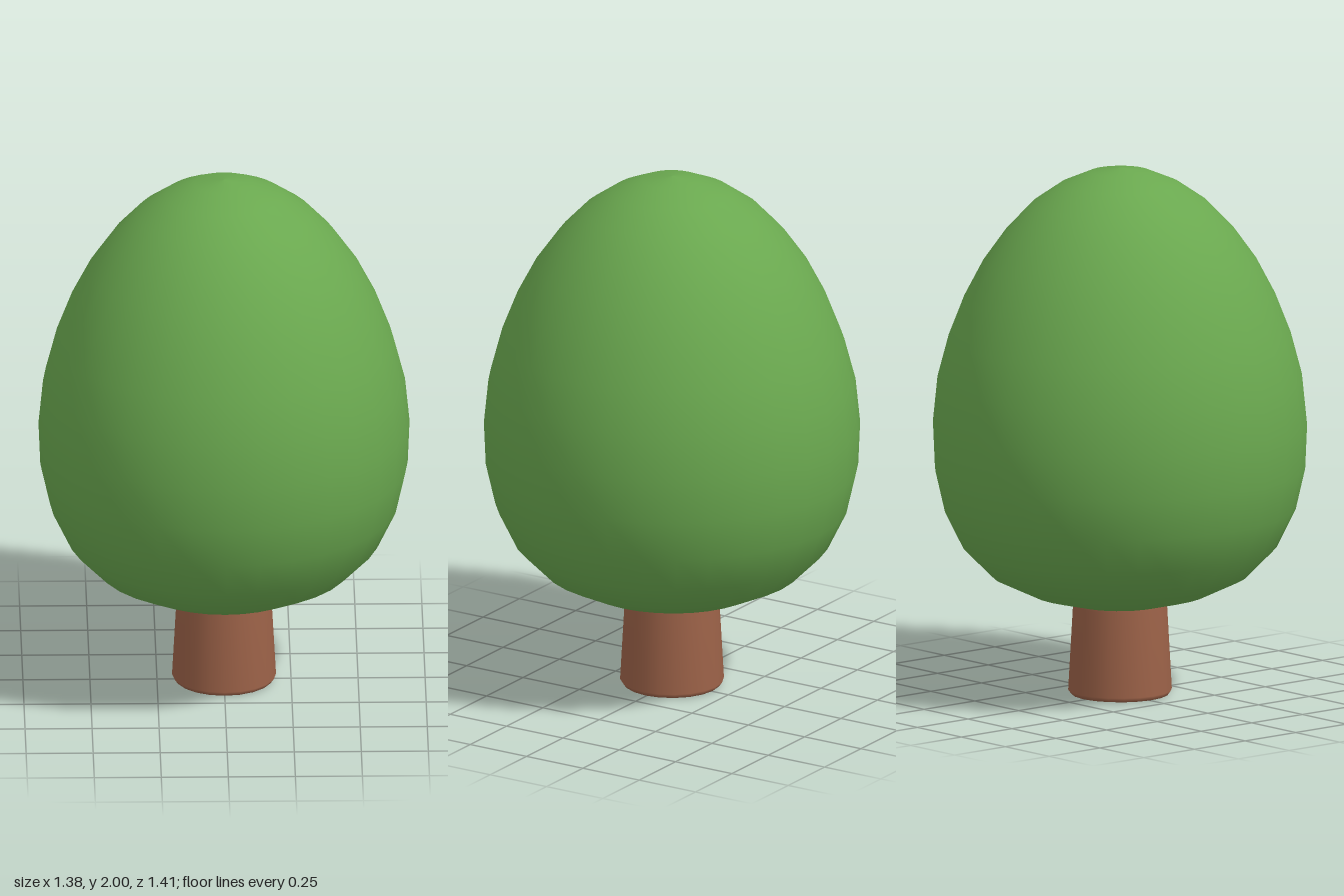
import * as THREE from 'three';

// Turns a bottom-to-top [radius, height] profile into a smooth solid
function turned(name, profile, sides, color) {
  const points = profile.map(([r, y]) => new THREE.Vector2(r, y));
  const mesh = new THREE.Mesh(
    new THREE.LatheGeometry(points, sides),
    new THREE.MeshStandardMaterial({ color })
  );
  mesh.name = name;
  return mesh;
}

export function createModel() {
  const tree = new THREE.Group();
  tree.name = 'tree';

  // Tapered trunk with a softened foot, running up into the crown
  tree.add(turned('trunk', [
    [0, 0], [0.182, 0.003], [0.194, 0.02], [0.176, 0.34], [0.17, 0.45], [0, 0.45],
  ], 20, 0x9c6248));

  // Egg-shaped crown, widest near its lower third
  const crown = turned('crown', [
    [0, 0.335], [0.17, 0.347], [0.33, 0.388], [0.475, 0.458], [0.58, 0.565],
    [0.65, 0.71], [0.685, 0.865], [0.692, 1.03], [0.675, 1.2], [0.633, 1.36],
    [0.575, 1.51], [0.505, 1.645], [0.42, 1.765], [0.325, 1.865],
    [0.22, 1.938], [0.11, 1.985], [0, 2],
  ], 32, 0x6aa84f);
  crown.scale.z = 1.02;
  tree.add(crown);

  return tree;
}
